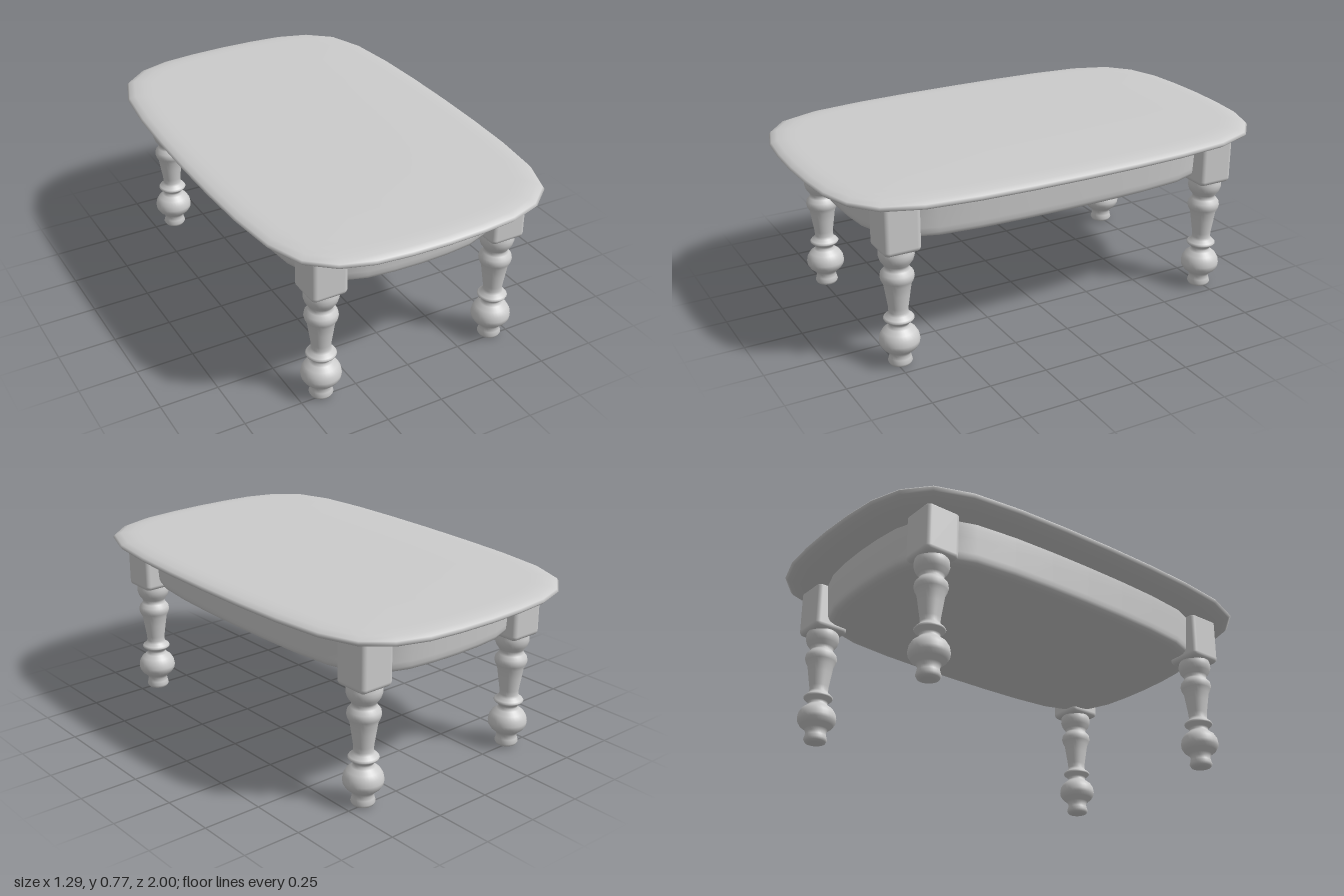
import * as THREE from 'three';
import { RoundedBoxGeometry } from 'three/addons/geometries/RoundedBoxGeometry.js';

// One quarter of the rounded table outline, from the side (+x) to the end (+z)
const QUARTER = [
  [0.643, 0], [0.64, 0.24], [0.63, 0.47], [0.605, 0.69], [0.547, 0.848],
  [0.442, 0.937], [0.308, 0.98], [0.16, 0.995], [0, 1],
];

// Mirror the quarter into the full closed outline
function fullOutline() {
  const half = [...QUARTER, ...QUARTER.slice(0, -1).reverse().map(([x, z]) => [-x, z])];
  return [...half, ...half.slice(1, -1).reverse().map(([x, z]) => [x, -z])];
}

// Stack scaled copies of the outline; each ring is [scale x, scale z, y], bottom to top
function outlineSolid(rings) {
  const outline = fullOutline();
  const n = outline.length;
  const positions = [];
  const indices = [];
  rings.forEach(([sx, sz, y], i) => {
    outline.forEach(([x, z], j) => {
      positions.push(x * sx, y, z * sz);
      if (i === 0) return;
      const k = (j + 1) % n;
      const a = (i - 1) * n + j, b = (i - 1) * n + k;
      const c = i * n + j, d = i * n + k;
      indices.push(a, c, b, b, c, d);
    });
  });
  const geometry = new THREE.BufferGeometry();
  geometry.setAttribute('position', new THREE.Float32BufferAttribute(positions, 3));
  geometry.setIndex(indices);
  geometry.computeVertexNormals();
  return geometry;
}

// Turned leg profile: [radius, y]
const LEG_PROFILE = [
  [0, 0], [0.03, 0.001], [0.044, 0.006], [0.05, 0.018], [0.045, 0.035], [0.043, 0.05], [0.05, 0.064],
  [0.07, 0.08], [0.081, 0.098], [0.083, 0.113], [0.079, 0.135], [0.067, 0.155],
  [0.048, 0.17], [0.04, 0.18], [0.043, 0.19], [0.06, 0.204], [0.063, 0.21],
  [0.058, 0.217], [0.044, 0.228], [0.04, 0.24], [0.041, 0.26], [0.05, 0.32],
  [0.056, 0.36], [0.065, 0.378], [0.069, 0.393], [0.066, 0.41], [0.054, 0.425],
  [0.048, 0.435], [0.053, 0.447], [0.066, 0.465], [0.072, 0.485], [0.071, 0.502], [0.066, 0.53],
];

export function createModel() {
  const group = new THREE.Group();
  const material = new THREE.MeshStandardMaterial({ color: 0xcccccc });
  const add = (parent, name, geometry) => {
    const mesh = new THREE.Mesh(geometry, material);
    mesh.name = name;
    parent.add(mesh);
    return mesh;
  };

  // Table top with a rounded edge: [inset from the rim, y]
  const edge = [
    [0.3, 0.712], [0.1, 0.712], [0.07, 0.713], [0.035, 0.718], [0.01, 0.729],
    [0, 0.74], [0.007, 0.75], [0.03, 0.76], [0.07, 0.765], [0.11, 0.766], [0.3, 0.767],
  ].map(([d, y]) => [1 - d / 0.643, 1 - d, y]);
  add(group, 'tableTop', outlineSolid([[0, 0, 0.712], ...edge, [0, 0, 0.767]]));

  // Solid bowed apron, narrowing slightly and rounded at the bottom
  const apron = [
    [0.3, 0.531], [0.05, 0.533], [0.03, 0.536], [0.015, 0.545], [0.009, 0.56],
    [0.007, 0.58], [0.003, 0.65], [0, 0.69], [0, 0.715],
  ].map(([d, y]) => [(0.5 - d) / 0.643, 0.83 - d, y]);
  add(group, 'apron', outlineSolid([[0, 0, 0.53], ...apron]));

  // Four legs: a square block on top of a turned post
  const post = new THREE.LatheGeometry(LEG_PROFILE.map(([r, y]) => new THREE.Vector2(r, y)), 32);
  const block = new RoundedBoxGeometry(0.158, 0.22, 0.158, 4, 0.022);
  for (const [sideName, x] of [['Left', 0.42], ['Right', -0.403]]) {
    for (const [endName, z] of [['front', 0.735], ['back', -0.743]]) {
      const leg = new THREE.Group();
      leg.name = `${endName}${sideName}Leg`;
      leg.position.set(x, 0, z);
      add(leg, 'turnedPost', post);
      add(leg, 'legBlock', block).position.y = 0.62;
      group.add(leg);
    }
  }
  return group;
}
